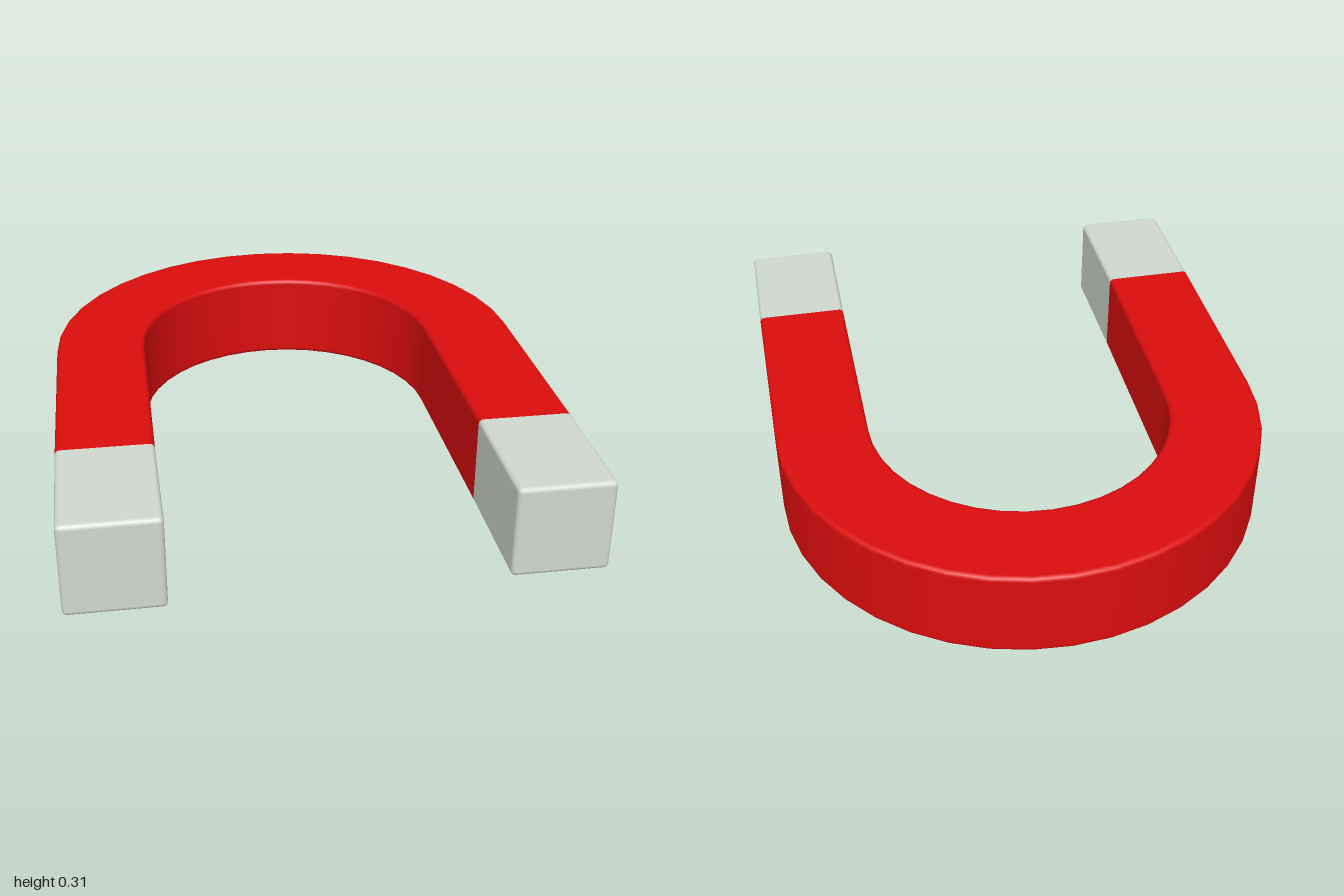
import * as THREE from 'three';

const HALF = 0.155;      // half width and half height of the bar
const FILLET = 0.016;    // rounding of the long edges
const LEG_X = 0.676;     // leg centre line at the tips
const ARC_R = 0.67;      // centre line radius of the bend
const ARC_Z = -0.175;    // centre of the bend
const SEAM_Z = 0.56;     // where the painted body meets the bare tips

// Rounded square section: fillet centre (u, v) and outward normal (nu, nv)
function barSection(steps = 4) {
  const points = [];
  const c = HALF - FILLET;
  for (let k = 0; k < 4; k++) {
    const mid = Math.PI / 4 + k * Math.PI / 2;
    for (let s = 0; s <= steps; s++) {
      const a = k * Math.PI / 2 + (s / steps) * Math.PI / 2;
      points.push({
        u: c * Math.sign(Math.cos(mid)), v: c * Math.sign(Math.sin(mid)),
        nu: Math.cos(a), nv: Math.sin(a),
      });
    }
  }
  return points;
}

// Sweep the section through stations {x, z, angle, tilt}; tilt rolls the first edge over the end
function sweep(stations, capStart) {
  const section = barSection();
  const n = section.length;
  const pos = [], nor = [], index = [];
  for (const { x, z, angle, tilt = 0 } of stations) {
    const ox = Math.cos(angle), oz = -Math.sin(angle);   // outward
    const bx = Math.sin(angle), bz = Math.cos(angle);    // backward along the path
    const ct = Math.cos(tilt), st = Math.sin(tilt);
    for (const { u, v, nu, nv } of section) {
      const nx = ct * nu * ox + st * bx;
      const ny = ct * nv;
      const nz = ct * nu * oz + st * bz;
      pos.push(x + u * ox + FILLET * nx, HALF + v + FILLET * ny, z + u * oz + FILLET * nz);
      nor.push(nx, ny, nz);
    }
  }
  for (let i = 0; i < stations.length - 1; i++) {
    for (let j = 0; j < n; j++) {
      const a = i * n + j, b = i * n + (j + 1) % n;
      index.push(a, a + n, b, b, a + n, b + n);
    }
  }
  if (capStart) {
    const s = stations[0], centre = pos.length / 3;
    pos.push(s.x, HALF, s.z + FILLET);
    nor.push(0, 0, 1);
    for (let j = 0; j < n; j++) index.push(centre, j, (j + 1) % n);
  }
  const geometry = new THREE.BufferGeometry();
  geometry.setAttribute('position', new THREE.Float32BufferAttribute(pos, 3));
  geometry.setAttribute('normal', new THREE.Float32BufferAttribute(nor, 3));
  geometry.setIndex(index);
  return geometry;
}

export function createModel() {
  const group = new THREE.Group();
  const red = new THREE.MeshStandardMaterial({ color: 0xdb0d0d });
  const steel = new THREE.MeshStandardMaterial({ color: 0xd0d8ce });

  // Painted U-shaped body: leg, half-circle bend, leg
  const path = [{ x: LEG_X, z: SEAM_Z, angle: 0 }];
  const segments = 20;
  for (let i = 0; i <= segments; i++) {
    const angle = (i / segments) * Math.PI;
    path.push({ x: ARC_R * Math.cos(angle), z: ARC_Z - ARC_R * Math.sin(angle), angle });
  }
  path.push({ x: -LEG_X, z: SEAM_Z, angle: Math.PI });
  const body = new THREE.Mesh(sweep(path, false), red);
  body.name = 'body';
  group.add(body);

  // Bare tips with rounded ends
  const tipPath = [];
  for (let i = 4; i >= 0; i--) {
    tipPath.push({ x: 0, z: 1 - FILLET, angle: 0, tilt: (i / 4) * Math.PI / 2 });
  }
  tipPath.push({ x: 0, z: SEAM_Z, angle: 0 });
  const tipGeometry = sweep(tipPath, true);
  for (const [name, side] of [['leftTip', 1], ['rightTip', -1]]) {
    const tip = new THREE.Mesh(tipGeometry, steel);
    tip.name = name;
    tip.position.x = side * LEG_X;
    group.add(tip);
  }
  return group;
}
